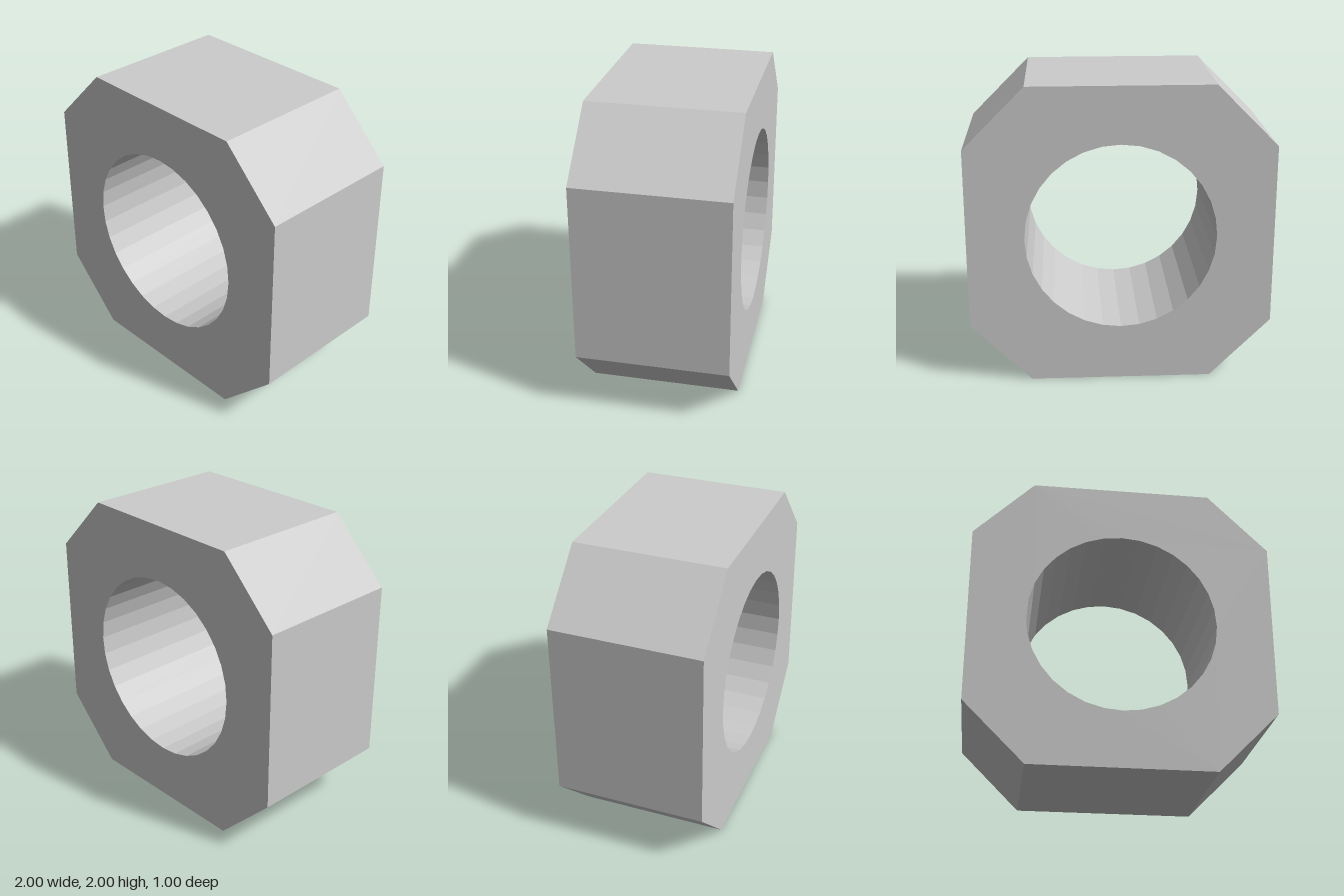
import * as THREE from 'three';

const DEPTH = 1, HALF = 1, CHAMFER = 0.4, BORE = 0.625, SIDES = 32;

export function createModel() {
  const group = new THREE.Group();
  group.name = 'octagonalNut';

  // Square outline with cut corners, counter-clockwise
  const c = HALF - CHAMFER;
  const outline = [[c, -HALF], [HALF, -c], [HALF, c], [c, HALF],
    [-c, HALF], [-HALF, c], [-HALF, -c], [-c, -HALF]];
  const shape = new THREE.Shape(outline.map(([x, y]) => new THREE.Vector2(x, y)));

  // Round through bore
  const bore = Array.from({ length: SIDES }, (_, i) => {
    const a = -i / SIDES * Math.PI * 2;
    return new THREE.Vector2(BORE * Math.cos(a), BORE * Math.sin(a));
  });
  shape.holes.push(new THREE.Path(bore));

  const geometry = new THREE.ExtrudeGeometry(shape, { depth: DEPTH, bevelEnabled: false });
  geometry.translate(0, HALF, -DEPTH / 2);
  const body = new THREE.Mesh(geometry,
    new THREE.MeshStandardMaterial({ color: 0xcccccc, flatShading: true }));
  body.name = 'nutBody';
  group.add(body);
  return group;
}
